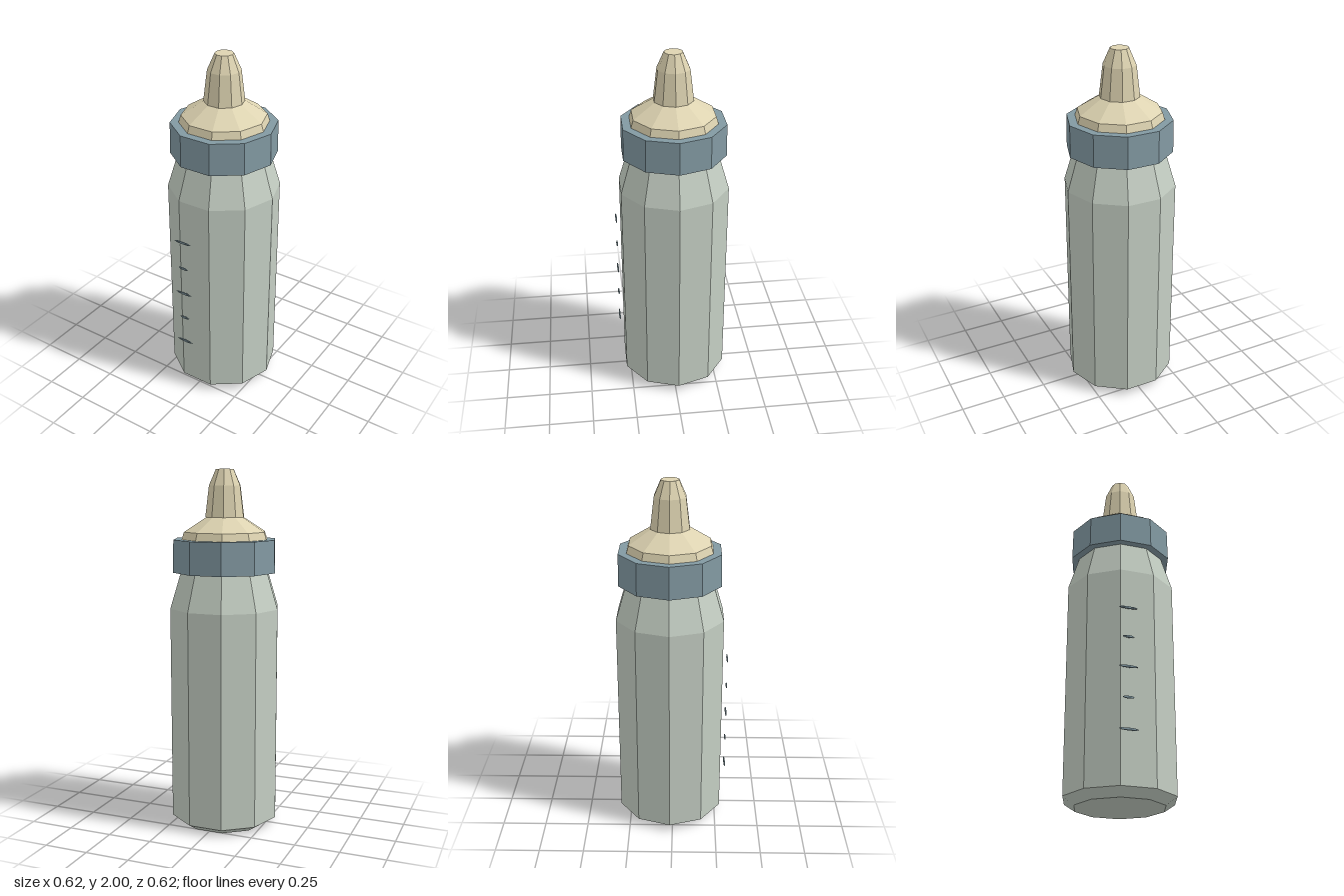
import * as THREE from 'three';

const SIDES = 10;

export function createModel() {
  const root = new THREE.Group();
  root.name = 'babyBottle';

  const mat = (name, color) => {
    const m = new THREE.MeshStandardMaterial({ color, flatShading: true });
    m.name = name;
    return m;
  };
  const glass = mat('paleGreenGrey', 0xc4cec3);
  const blue = mat('slateBlue', 0x8299a2);
  const rubber = mat('cream', 0xddd3b1);

  // Ten-sided turned part with corners on the x axis; profile is [radius, y], bottom to top
  const turned = (name, profile, material) => {
    const points = profile.map(([r, y]) => new THREE.Vector2(r, y));
    const mesh = new THREE.Mesh(new THREE.LatheGeometry(points, SIDES, Math.PI / 2), material);
    mesh.name = name;
    mesh.position.z = -0.016;
    root.add(mesh);
  };

  // Bottle with bevelled foot and tapered shoulder
  turned('bottle', [[0, 0], [0.248, 0], [0.31, 0.042], [0.31, 1.245], [0.247, 1.45], [0, 1.45]], glass);

  // Screw collar
  turned('collar', [[0, 1.443], [0.292, 1.443], [0.289, 1.622], [0, 1.622]], blue);

  // Teat: domed base, then a slightly overhanging nipple
  turned('teatBase', [[0.245, 1.615], [0.23, 1.663], [0.1, 1.745], [0, 1.745]], rubber);
  turned('nipple', [[0, 1.742], [0.11, 1.742], [0.089, 1.912], [0.05, 2], [0, 2]], rubber);

  // Measuring marks, alternating long and short
  const markGeometry = new THREE.SphereGeometry(1, 10, 4);
  for (let i = 0; i < 5; i++) {
    const mark = new THREE.Mesh(markGeometry, blue);
    mark.name = 'measuringMark';
    mark.scale.set(i % 2 ? 0.033 : 0.055, 0.008, 0.005);
    mark.position.set(-0.061, 0.325 + i * 0.17, 0.304);
    root.add(mark);
  }

  return root;
}
